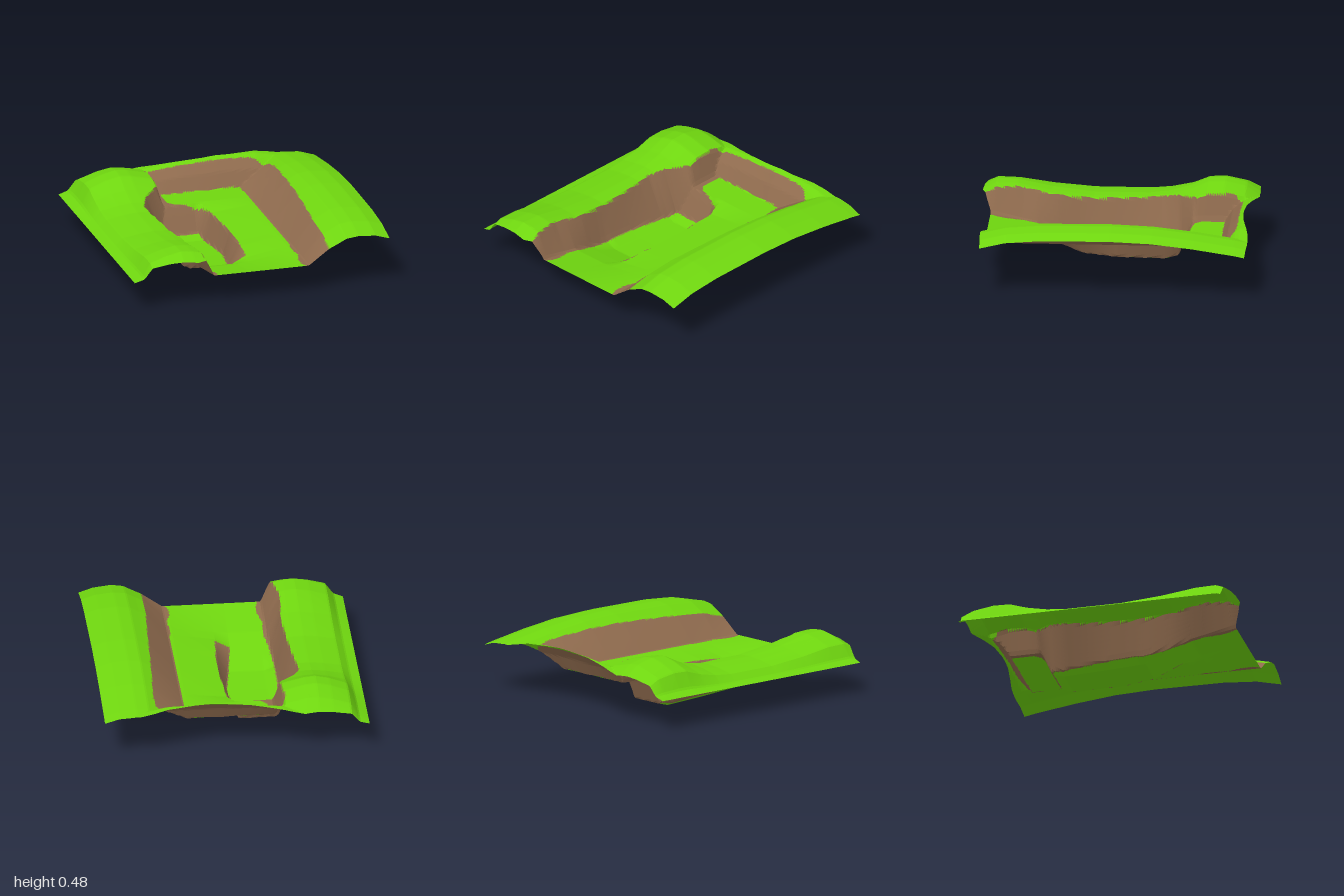
import * as THREE from 'three';

const lerp = THREE.MathUtils.lerp;
const ramp = (a, b, t) => THREE.MathUtils.clamp((t - a) / (b - a), 0, 1);

// Piecewise linear curve through [position, value] pairs, clamped at the ends
const curve = (...p) => (t) => {
  if (t <= p[0][0]) return p[0][1];
  for (let i = 1; i < p.length; i++) {
    if (t <= p[i][0]) return lerp(p[i - 1][1], p[i][1], ramp(p[i - 1][0], p[i][0], t));
  }
  return p[p.length - 1][1];
};

// Outline of the sheet
const backEdge = curve([-0.96, -0.975], [-0.75, -0.99], [-0.5, -1], [-0.38, -0.985], [-0.25, -0.955],
  [-0.1, -0.93], [0.1, -0.92], [0.3, -0.93], [0.48, -0.96], [0.6, -0.98], [0.75, -0.985], [0.95, -0.975]);
const frontEdge = curve([-0.96, 0.94], [-0.8, 0.965], [-0.6, 0.99], [-0.5, 1], [-0.42, 0.97],
  [-0.37, 0.935], [0.5, 0.935], [0.7, 0.945], [0.95, 0.935]);

// Left bank: cliff lines along z, ridge height and cross-section
const leftTop = curve([-1, -0.36], [-0.56, -0.35], [-0.5, -0.4], [-0.42, -0.47], [-0.3, -0.52],
  [0, -0.49], [0.45, -0.46], [0.7, -0.48], [1, -0.43]);
const leftFoot = curve([-1, -0.3], [-0.52, -0.3], [-0.42, -0.36], [-0.3, -0.38], [0, -0.4],
  [0.3, -0.4], [0.6, -0.37], [1, -0.36]);
const leftRidge = curve([-1, 0.35], [-0.9, 0.42], [-0.75, 0.455], [-0.63, 0.45], [-0.5, 0.39], [-0.35, 0.345],
  [-0.2, 0.325], [0.2, 0.325], [0.5, 0.36], [0.75, 0.41], [0.9, 0.415], [1, 0.36]);
const leftShape = curve([-0.96, 0], [-0.89, 0.15], [-0.83, 0.68], [-0.7, 0.9], [-0.6, 1], [-0.52, 0.97], [-0.36, 0.8]);

// Right bank
const rightFoot = curve([-0.75, 0.34], [-0.5, 0.35], [1, 0.35]);
const rightTop = curve([-0.85, 0.55], [-0.7, 0.58], [-0.4, 0.56], [0.2, 0.53], [0.5, 0.51], [1, 0.5]);
const rightRidge = curve([-1, 0.37], [-0.9, 0.39], [-0.6, 0.435], [-0.3, 0.468], [0, 0.48], [0.5, 0.475],
  [0.75, 0.455], [0.94, 0.41]);
const rightShape = curve([0.5, -0.08], [0.56, -0.05], [0.63, -0.012], [0.72, 0], [0.85, -0.012], [0.95, -0.045]);

// Back bank
const backHeight = curve([-0.9, 0.22], [-0.6, 0.32], [-0.35, 0.37], [-0.1, 0.4], [0.2, 0.42], [0.5, 0.41],
  [0.7, 0.37], [0.95, 0.22]);
const backShape = curve([-0.92, 1], [-0.88, 0.87], [-0.82, 0.55], [-0.76, 0]);

// Sunken pit with a ramp rising to the front
const pitDepth = curve([-0.53, 0.22], [-0.5, 0.16], [-0.44, 0.025], [-0.35, 0], [0, 0.015], [0.25, 0.03],
  [0.45, 0.105], [0.6, 0.16], [0.94, 0.22]);
const pitRim = curve([-0.5, -0.02], [-0.4, 0.01], [0, 0.035], [0.2, 0.03], [0.47, 0.01]);
const pitFoot = curve([-0.5, -0.08], [-0.4, -0.06], [0, -0.02], [0.2, -0.05], [0.47, -0.09]);
const rimHeight = curve([-0.55, 0.22], [-0.4, 0.185], [0.3, 0.18], [0.5, 0.165], [0.6, 0.172], [0.94, 0.22]);

function floorHeight(x, z) {
  const bowl = 0.04 * ramp(-0.32, -0.4, x) * ramp(-0.5, -0.4, z) * ramp(0.4, 0.2, z);
  const shelf = lerp(rimHeight(z), 0.22, ramp(pitRim(z), 0.32, x));
  return lerp(pitDepth(z) + bowl, shelf, ramp(pitFoot(z), pitRim(z), x));
}

function height(x, z) {
  const lt = leftTop(z), lf = leftFoot(z);
  let y = floorHeight(x, z);
  if (x < lf) {
    const top = lerp(0.225, leftRidge(z), leftShape(Math.min(x, lt)));
    y = lerp(floorHeight(lf, z), top, ramp(lf, lt, x));
  }
  const rf = rightFoot(z), rt = rightTop(z);
  if (x > rf) y = lerp(0.22, rightRidge(z) + rightShape(Math.max(x, rt)), ramp(rf, rt, x));
  if (z < -0.76) y = Math.max(y, lerp(0.22, backHeight(x), backShape(z)));
  return y;
}

// Bare soil on the cliffs, the pit walls and the ledge behind the pit
const soilLeft = curve([-0.75, -0.26], [-0.6, -0.26], [-0.55, -0.22], [-0.52, -0.1], [-0.49, -0.03], [-0.43, 0]);
const flare = curve([0.45, 0], [0.55, 0.015], [0.7, 0.005], [0.8, 0.03], [0.88, 0.03], [0.94, 0.01]);
function isSoil(x, z) {
  if (z < -0.76) {
    const corner = 0.08 * (ramp(0.42, 0.56, x) ** 2 + ramp(-0.3, -0.37, x) ** 2);
    if (z > -0.89 + corner && x > -0.365 && x < 0.575) return true;
    return false;
  }
  const f = flare(z);
  if (x > leftTop(z) && x < leftFoot(z) + 0.01 + f) return true;
  if (x > rightFoot(z) - 1.2 * f - 0.005 && x < rightTop(z)) return true;
  if (z < -0.43) return x > leftTop(z) && x < soilLeft(z);
  return z < 0.47 && x > pitFoot(z) - 0.005 && x < pitRim(z) + 0.005;
}

export function createModel() {
  const grass = new THREE.MeshStandardMaterial({ color: 0x6fd60f, flatShading: true, side: THREE.DoubleSide });
  grass.name = 'grass green';
  const soil = new THREE.MeshStandardMaterial({ color: 0x8f6b4e, flatShading: true, side: THREE.DoubleSide });
  soil.name = 'soil brown';

  // Shared grid of points, bounded by the curved front and back edges
  const N = 150, W = N + 1, points = [];
  for (let j = 0; j <= N; j++) {
    for (let i = 0; i <= N; i++) {
      const x = lerp(-0.96, 0.955, i / N);
      const z = lerp(backEdge(x), frontEdge(x), j / N);
      points.push(x, height(x, z), z);
    }
  }

  // Sort each triangle into grass or soil by its centre
  const faces = { grass: [], soil: [] };
  const add = (...t) => {
    const mid = (k) => t.reduce((s, v) => s + points[v * 3 + k], 0) / 3;
    faces[isSoil(mid(0), mid(2)) ? 'soil' : 'grass'].push(...t);
  };
  for (let j = 0; j < N; j++) {
    for (let i = 0; i < N; i++) {
      const a = j * W + i, b = a + 1, c = a + W, d = c + 1;
      add(a, c, b);
      add(b, c, d);
    }
  }

  const group = new THREE.Group();
  group.name = 'terrain';
  const position = new THREE.Float32BufferAttribute(points, 3);
  const addPart = (name, index, material) => {
    const geometry = new THREE.BufferGeometry();
    geometry.setAttribute('position', position);
    geometry.setIndex(index);
    geometry.computeVertexNormals();
    const mesh = new THREE.Mesh(geometry, material);
    mesh.name = name;
    group.add(mesh);
  };
  addPart('grassGround', faces.grass, grass);
  addPart('soilCliffs', faces.soil, soil);
  return group;
}
